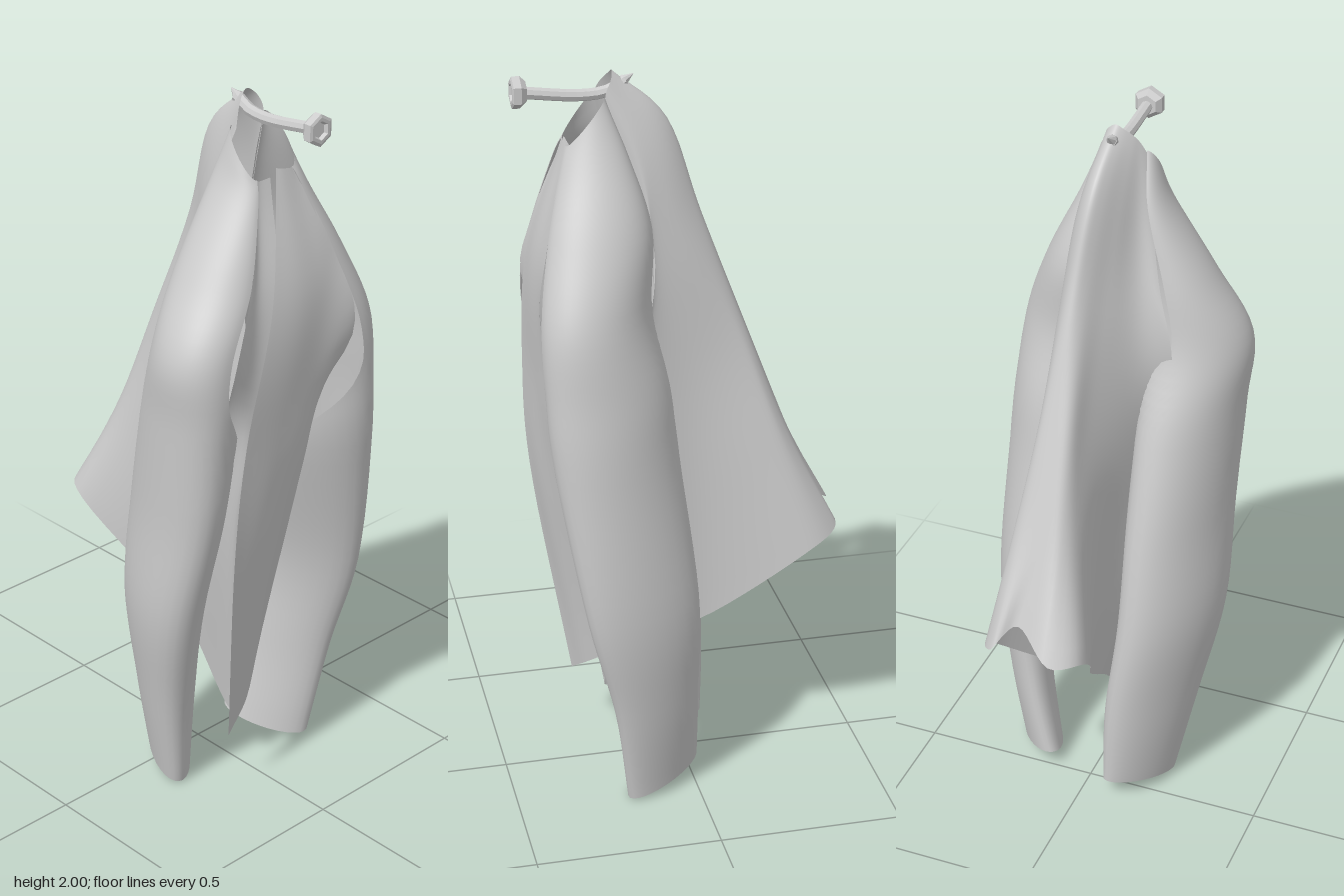
import * as THREE from 'three';
import { mergeVertices } from 'three/addons/utils/BufferGeometryUtils.js';

const cloth = new THREE.MeshStandardMaterial({ color: 0xcccccc, side: THREE.DoubleSide });
const metal = new THREE.MeshStandardMaterial({ color: 0xcccccc, flatShading: true });

// Smooth sheet from a function of (u, v); coincident seam points are welded
function sheet(name, nu, nv, fn) {
  const pos = [], idx = [];
  for (let i = 0; i <= nu; i++)
    for (let j = 0; j <= nv; j++) {
      const p = fn(i / nu, j / nv);
      pos.push(p.x, p.y, p.z);
      if (i < nu && j < nv) {
        const a = i * (nv + 1) + j, b = a + nv + 1;
        idx.push(a, a + 1, b, b, a + 1, b + 1);
      }
    }
  let geo = new THREE.BufferGeometry();
  geo.setAttribute('position', new THREE.Float32BufferAttribute(pos, 3));
  geo.setIndex(idx);
  geo = mergeVertices(geo, 1e-5);
  geo.computeVertexNormals();
  const mesh = new THREE.Mesh(geo, cloth);
  mesh.name = name;
  return mesh;
}

const spline = (pts) => new THREE.CatmullRomCurve3(pts, false, 'catmullrom', 0.5);

// Hanging cloth: each column is a fold line running from collar to hem
function drape(name, columns) {
  const curves = columns.map((c) => spline(c.map((p) => new THREE.Vector3(...p))));
  return sheet(name, (columns.length - 1) * 6, 30,
    (u, v) => spline(curves.map((c) => c.getPoint(v))).getPoint(u));
}

// Sleeve sections: [y, centre x, centre z, half width, half depth, skew].
// Above the armpit only the outer half exists, so it opens into the body.
function sleeve(name, side, sections) {
  const centre = spline(sections.map((s) => new THREE.Vector3(s[1], s[0], s[2])));
  const size = spline(sections.map((s) => new THREE.Vector3(s[3], s[5], s[4])));
  const { smoothstep, lerp } = THREE.MathUtils;
  return sheet(name, 48, 28, (u, v) => {
    const c = centre.getPoint(u), r = size.getPoint(u);
    const front = Math.PI * (1 - 0.5 * smoothstep(c.y, 0.95, 1.3));
    const back = Math.PI * (1 - 0.5 * smoothstep(c.y, 1.15, 1.45));
    const a = lerp(-back, front, v) - r.y;
    const dz = Math.sin(a + r.y);
    // the collar end rises to the back, and so does the cuff
    const tilt = 0.028 * (1 - dz) * u ** 12 - 0.06 * dz * (1 - u) ** 8;
    return new THREE.Vector3(side * (c.x + r.x * Math.cos(a)), c.y + tilt, c.z + r.z * dz);
  });
}

function createPeg() {
  const peg = new THREE.Group();
  peg.name = 'wallPeg';
  // Bent shaft
  const path = spline([[0, 1.972, 0.14], [0, 1.945, 0.19], [0, 1.94, 0.27], [0, 1.955, 0.4]]
    .map((p) => new THREE.Vector3(...p)));
  const shaft = new THREE.Mesh(new THREE.TubeGeometry(path, 10, 0.016, 8), metal);
  shaft.name = 'pegShaft';
  // Pointed end poking through the cloth
  const tip = new THREE.Mesh(new THREE.ConeGeometry(0.014, 0.03, 8), metal);
  tip.name = 'pegTip';
  tip.position.set(0, 1.98, 0.13);
  tip.rotation.x = -1;
  // Six-sided knob
  const profile = [[0, -0.025], [0.028, -0.025], [0.042, -0.01], [0.042, 0.01], [0.034, 0.013], [0.025, 0.013], [0.02, 0.004], [0, 0.004]];
  const knob = new THREE.Mesh(
    new THREE.LatheGeometry(profile.map((p) => new THREE.Vector2(...p)), 6), metal);
  knob.name = 'pegKnob';
  knob.position.set(0, 1.957, 0.419);
  knob.rotation.x = Math.PI / 2;
  peg.add(shaft, tip, knob);
  return peg;
}

export function createModel() {
  const model = new THREE.Group();
  model.name = 'hangingJacket';

  // Side seams shared by the front panels and the back
  const leftSide = [[0.1, 1, 0.2], [0.08, 0.7, 0.13], [0.045, 0.4, 0.08]];
  const rightSide = [[-0.14, 1, 0.2], [-0.1, 0.7, 0.13], [-0.035, 0.36, 0.03]];

  // Left front panel, lapping across the right one
  model.add(drape('leftFrontPanel', [
    [[-0.02, 1.83, 0.3], [-0.11, 1.5, 0.385], [-0.2, 1.15, 0.39], [-0.22, 0.8, 0.37], [-0.15, 0.21, 0.28]],
    [[0, 1.825, 0.303], [-0.02, 1.5, 0.39], [-0.07, 1.15, 0.38], [-0.08, 0.8, 0.35], [-0.05, 0.28, 0.25]],
    [[0.025, 1.82, 0.303], [0.07, 1.5, 0.385], [0.07, 1.15, 0.36], [0.08, 0.8, 0.27], [0.04, 0.36, 0.18]],
    [[0.035, 1.82, 0.3], [0.12, 1.6, 0.366], [0.175, 1.35, 0.392], ...leftSide],
  ]));

  // Back, pinched behind the shoulders and flaring to the tail
  model.add(drape('back', [
    [[0.035, 1.93, 0.2], [0.09, 1.63, 0.1], [0.112, 1.38, 0.1], ...leftSide],
    [[0.035, 1.955, 0.195], [0.08, 1.75, 0.11], [0.095, 1.5, 0.075], [0.085, 1.15, 0.02], [0.08, 0.85, -0.03], [0.07, 0.46, -0.08]],
    [[0.03, 1.975, 0.185], [0.065, 1.8, 0.075], [0.085, 1.55, 0], [0.09, 1.25, -0.12], [0.125, 0.95, -0.22], [0.165, 0.66, -0.31]],
    [[0.018, 1.99, 0.178], [0.04, 1.85, 0.05], [0.06, 1.6, -0.035], [0.075, 1.3, -0.155], [0.1, 1, -0.27], [0.12, 0.72, -0.41]],
    [[0, 2, 0.175], [0.01, 1.87, 0.035], [0.03, 1.62, -0.05], [0.035, 1.3, -0.17], [0.03, 1, -0.285], [0.06, 0.78, -0.365]],
    [[-0.018, 1.99, 0.178], [-0.015, 1.85, 0.05], [0, 1.6, -0.035], [-0.01, 1.3, -0.16], [-0.03, 1, -0.28], [-0.05, 0.72, -0.43]],
    [[-0.04, 1.97, 0.19], [-0.045, 1.8, 0.085], [-0.04, 1.55, 0.015], [-0.035, 1.25, -0.1], [-0.065, 0.95, -0.22], [-0.125, 0.69, -0.34]],
    [[-0.055, 1.95, 0.2], [-0.08, 1.75, 0.13], [-0.1, 1.5, 0.08], [-0.085, 1.15, 0.03], [-0.06, 0.85, -0.03], [-0.04, 0.46, -0.1]],
    [[-0.07, 1.92, 0.21], [-0.14, 1.61, 0.12], [-0.19, 1.38, 0.1], ...rightSide],
  ]));

  // Right front panel, mostly hidden beneath the left one
  model.add(drape('rightFrontPanel', [
    [[-0.08, 1.81, 0.285], [-0.15, 1.59, 0.355], [-0.23, 1.35, 0.375], ...rightSide],
    [[-0.06, 1.8, 0.28], [-0.13, 1.5, 0.36], [-0.16, 1.15, 0.35], [-0.14, 0.8, 0.28], [-0.05, 0.2, 0.19]],
    [[-0.02, 1.8, 0.28], [-0.07, 1.5, 0.37], [-0.1, 1.15, 0.36], [-0.07, 0.8, 0.31], [0, 0.27, 0.21]],
  ]));

  // Sleeves run from the collar over the shoulder to the cuff
  model.add(sleeve('leftSleeve', 1, [
    [1.88, 0.035, 0.25, 0.03, 0.05, 0],
    [1.77, 0.06, 0.235, 0.058, 0.09, 0],
    [1.6, 0.105, 0.23, 0.1, 0.137, 0.15],
    [1.4, 0.15, 0.25, 0.135, 0.15, 0.3],
    [1.2, 0.185, 0.23, 0.127, 0.168, 0.3],
    [1, 0.2, 0.21, 0.13, 0.172, 0.35],
    [0.6, 0.255, 0.155, 0.092, 0.16, 0.5],
    [0.3, 0.232, 0.115, 0.08, 0.125, 0.6],
    [0.005, 0.183, 0.09, 0.078, 0.108, 0.7],
  ]));
  model.add(sleeve('rightSleeve', -1, [
    [1.87, 0.075, 0.245, 0.025, 0.045, 0],
    [1.77, 0.095, 0.235, 0.045, 0.08, 0],
    [1.58, 0.155, 0.24, 0.1, 0.118, 0],
    [1.4, 0.215, 0.24, 0.135, 0.14, 0.2],
    [1.2, 0.215, 0.2, 0.128, 0.17, 0.3],
    [0.9, 0.21, 0.145, 0.122, 0.185, 0.4],
    [0.6, 0.21, 0.09, 0.122, 0.172, 0.5],
    [0.3, 0.17, 0.05, 0.108, 0.138, 0.6],
    [0.01, 0.14, 0.03, 0.08, 0.11, 0.7],
  ]));

  model.add(createPeg());
  return model;
}
